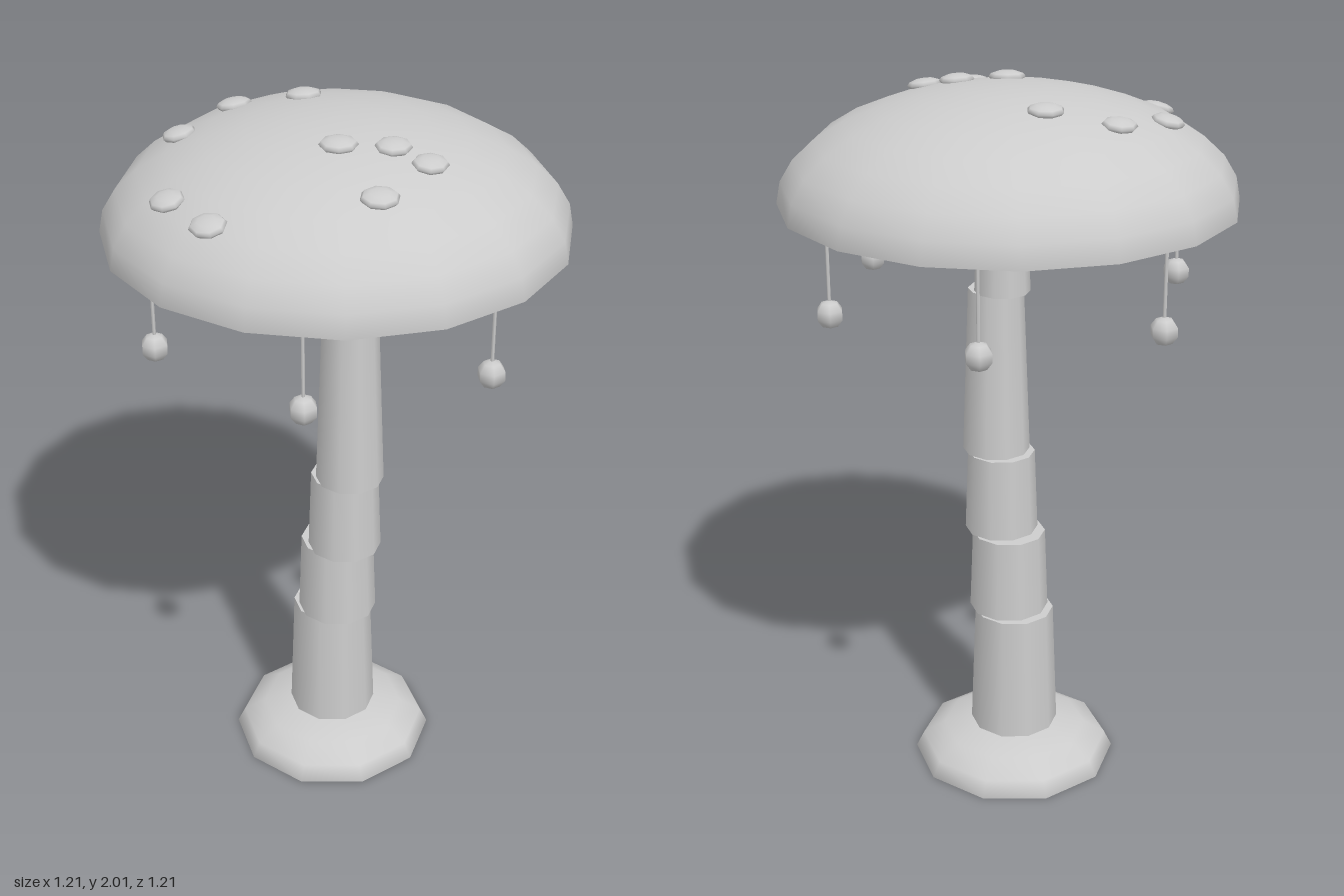
import * as THREE from 'three';

const CAP_Y = 1.695, CAP_R = 0.617, CAP_H = 0.305;

export function createModel() {
  const grey = new THREE.MeshStandardMaterial({ color: 0xcccccc });
  grey.name = 'plain grey';

  const model = new THREE.Group();
  model.name = 'mushroomTree';

  function add(parent, name, geometry, x = 0, y = 0, z = 0) {
    const mesh = new THREE.Mesh(geometry, grey);
    mesh.name = name;
    mesh.position.set(x, y, z);
    parent.add(mesh);
    return mesh;
  }

  // Flattened half sphere closed by a flat underside
  function dome(name, radius, height, sides, rings, turn, x, y) {
    const group = new THREE.Group();
    group.name = name;
    group.position.set(x, y, 0);
    const shell = new THREE.SphereGeometry(radius, sides, rings, 0, Math.PI * 2, 0, Math.PI / 2);
    shell.rotateY(turn).scale(1, height / radius, 1);
    add(group, name + 'Shell', shell);
    const disc = new THREE.CircleGeometry(radius, sides);
    disc.rotateX(Math.PI / 2).rotateY(turn);
    add(group, name + 'Underside', disc);
    model.add(group);
  }

  dome('base', 0.295, 0.12, 10, 4, Math.PI / 2, -0.024, 0);
  dome('cap', CAP_R, CAP_H, 16, 8, Math.PI / 16, 0, CAP_Y);

  // Trunk of seven tapering, sideways shifted sections
  const shifts = [-0.024, -0.024, 0.002, 0.038, 0.062, 0.062, 0.032];
  const step = 1.675 / shifts.length;
  const radiusAt = (y) => 0.131 - 0.0375 * y;
  shifts.forEach((x, i) => {
    const y0 = i * step, y1 = y0 + step;
    add(model, 'trunkSection' + (i + 1),
      new THREE.CylinderGeometry(radiusAt(y1), radiusAt(y0), step, 10), x, (y0 + y1) / 2, 0);
  });

  // Six hanging beads on strings
  const bead = new THREE.SphereGeometry(0.039, 6, 5).rotateY(Math.PI / 2);
  const string = new THREE.CylinderGeometry(0.005, 0.005, 0.2, 5);
  for (let i = 0; i < 6; i++) {
    const angle = Math.PI / 4 + i * Math.PI / 3;
    const pendant = new THREE.Group();
    pendant.name = 'pendant' + (i + 1);
    pendant.position.set(0.505 * Math.cos(angle), 0, 0.505 * Math.sin(angle));
    add(pendant, 'string', string, 0, 1.565, 0);
    add(pendant, 'bead', bead, 0, 1.44, 0);
    model.add(pendant);
  }

  // Flat spots resting on the cap, leaning halfway to its slope
  const spots = [
    [-0.22, -0.05], [-0.34, 0.09], [-0.3, 0.285], [-0.03, 0.485], [0.14, 0.475],
    [0.355, 0.13], [0.135, 0.092], [0.21, -0.02], [0.305, -0.06],
  ];
  const spot = new THREE.SphereGeometry(0.05, 8, 6).scale(1, 0.34, 0.9);
  spots.forEach(([x, z], i) => {
    const r = Math.hypot(x, z);
    const rise = Math.sqrt(1 - (r / CAP_R) ** 2);
    const slope = Math.atan((CAP_H / CAP_R) * (r / CAP_R) / rise);
    const mesh = add(model, 'capSpot' + (i + 1), spot, x, CAP_Y + CAP_H * rise + 0.003, z);
    mesh.rotation.set(slope * 0.5, Math.atan2(x, z), 0, 'YXZ');
  });

  return model;
}
